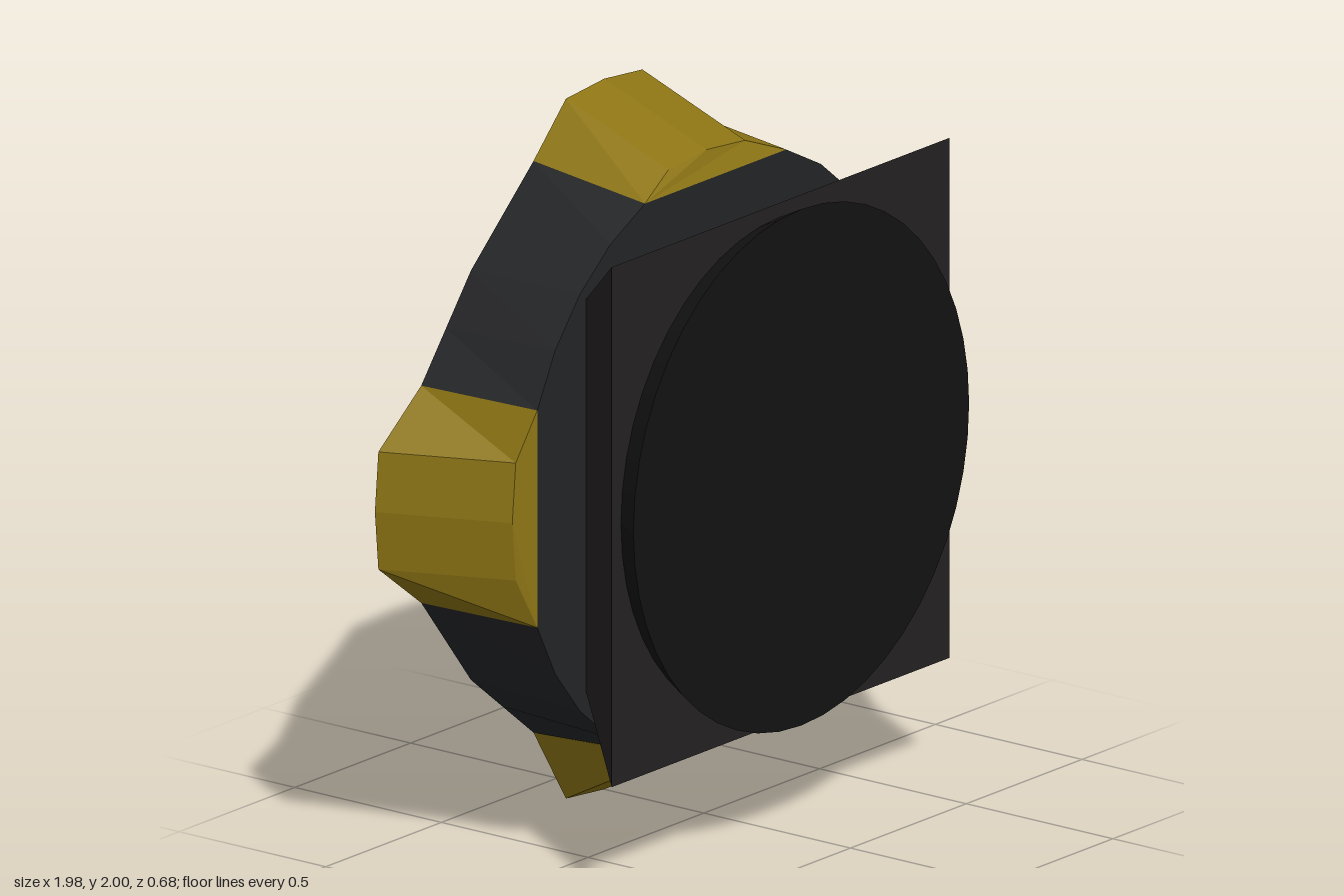
import * as THREE from 'three';

const BACK = -0.34, FRONT = 0.04, LIP = 0.01;
const ROOT = 0.77, HALF = 0.305; // flat seat of each lug
const CY = 1.03;

const material = (color) => new THREE.MeshStandardMaterial({ color, flatShading: true, roughness: 1 });

function named(name, geometry, mat) {
  const mesh = new THREE.Mesh(geometry, mat);
  mesh.name = name;
  return mesh;
}

// Collects triangles; each face is a list of [x, y, z] corners, fanned from the first
function facesGeometry(faces) {
  const pos = [];
  for (const f of faces)
    for (let i = 1; i < f.length - 1; i++) pos.push(...f[0], ...f[i], ...f[i + 1]);
  const g = new THREE.BufferGeometry();
  g.setAttribute('position', new THREE.Float32BufferAttribute(pos, 3));
  g.computeVertexNormals();
  return g;
}

// Quads between a front row and a back row
const strip = (front, back) =>
  front.slice(1).map((p, i) => [front[i], p, back[i + 1], back[i]]);

// Quarter turns clockwise seen from the front
function turn([x, y, z], k) {
  for (let i = 0; i < k; i++) [x, y] = [y, -x];
  return [x, y, z];
}

const cap = (points) => new THREE.ShapeGeometry(new THREE.Shape(points.map(([x, y]) => new THREE.Vector2(x, y))));

export function createModel() {
  const model = new THREE.Group();
  const yellow = material(0x8c7414);
  const dark = material(0x242527);
  const plateMat = material(0x242122);
  const discMat = material(0x131313);

  const base = new THREE.Group();
  base.name = 'base';
  base.position.y = CY;
  model.add(base);

  // Top, left, bottom, right lugs: outer reach and back corner height
  const lugs = [
    { name: 'topLug', tip: 0.97, corner: 0.815 },
    { name: 'leftLug', tip: 0.99, corner: 0.79 },
    { name: 'bottomLug', tip: 1.025, corner: 0.79 },
    { name: 'rightLug', tip: 0.99, corner: 0.79 },
  ];
  const xs = [-HALF, -0.165, 0, 0.165, HALF];
  const backOutline = [], frontOutline = [], wallFaces = [];

  lugs.forEach(({ name, tip, corner }, k) => {
    const backY = [corner, tip - 0.015, tip, tip - 0.015, corner];
    const frontY = [ROOT, 0.825, 0.84, 0.825, ROOT];
    const back = xs.map((x, i) => turn([x, backY[i], BACK], k));
    const front = xs.map((x, i) => turn([x, frontY[i], i % 4 ? LIP : FRONT], k));

    // Flared lug with a bevelled front
    const bevel = [front[0], front[4], front[3], front[2], front[1]];
    base.add(named(name, facesGeometry([...strip(front, back), bevel]), yellow));

    // Drum wall to the next lug: rounded in front, two flats behind
    const next = lugs[(k + 1) % 4].corner;
    const a0 = Math.atan2(HALF, ROOT), a1 = Math.PI / 2 - a0;
    const r = Math.hypot(HALF, ROOT);
    const start = [HALF, corner], mid = [0.575, 0.575], end = [next, HALF];
    const wallFront = [], wallBack = [];
    for (let i = 0; i <= 4; i++) {
      const a = a0 + ((a1 - a0) * i) / 4;
      wallFront.push(turn([r * Math.sin(a), r * Math.cos(a), FRONT], k));
      const [p, q, t] = i < 2 ? [start, mid, i / 2] : [mid, end, (i - 2) / 2];
      wallBack.push(turn([p[0] + (q[0] - p[0]) * t, p[1] + (q[1] - p[1]) * t, BACK], k));
    }
    wallFaces.push(...strip(wallFront, wallBack));
    frontOutline.push(...wallFront);
    backOutline.push(...back, ...wallBack.slice(1, 4));
  });

  // Drum wall and its two flat ends
  base.add(named('drumWall', facesGeometry(wallFaces), dark));
  base.add(named('drumFront', cap(frontOutline).translate(0, 0, FRONT), dark));
  base.add(named('drumBack', cap(backOutline).rotateY(Math.PI).translate(0, 0, BACK), dark));

  // Square flared plate
  const plate = new THREE.CylinderGeometry(0.73 * Math.SQRT2, 0.55 * Math.SQRT2, 0.23, 4);
  plate.rotateY(Math.PI / 4).rotateX(Math.PI / 2).translate(-0.01, 1.045, 0.155);
  model.add(named('squarePlate', plate, plateMat));

  // Round front disc, slightly wider at the front
  const disc = new THREE.CylinderGeometry(0.725, 0.69, 0.07, 48);
  disc.rotateX(Math.PI / 2).translate(-0.01, 1.045, 0.305);
  model.add(named('frontDisc', disc, discMat));

  return model;
}
